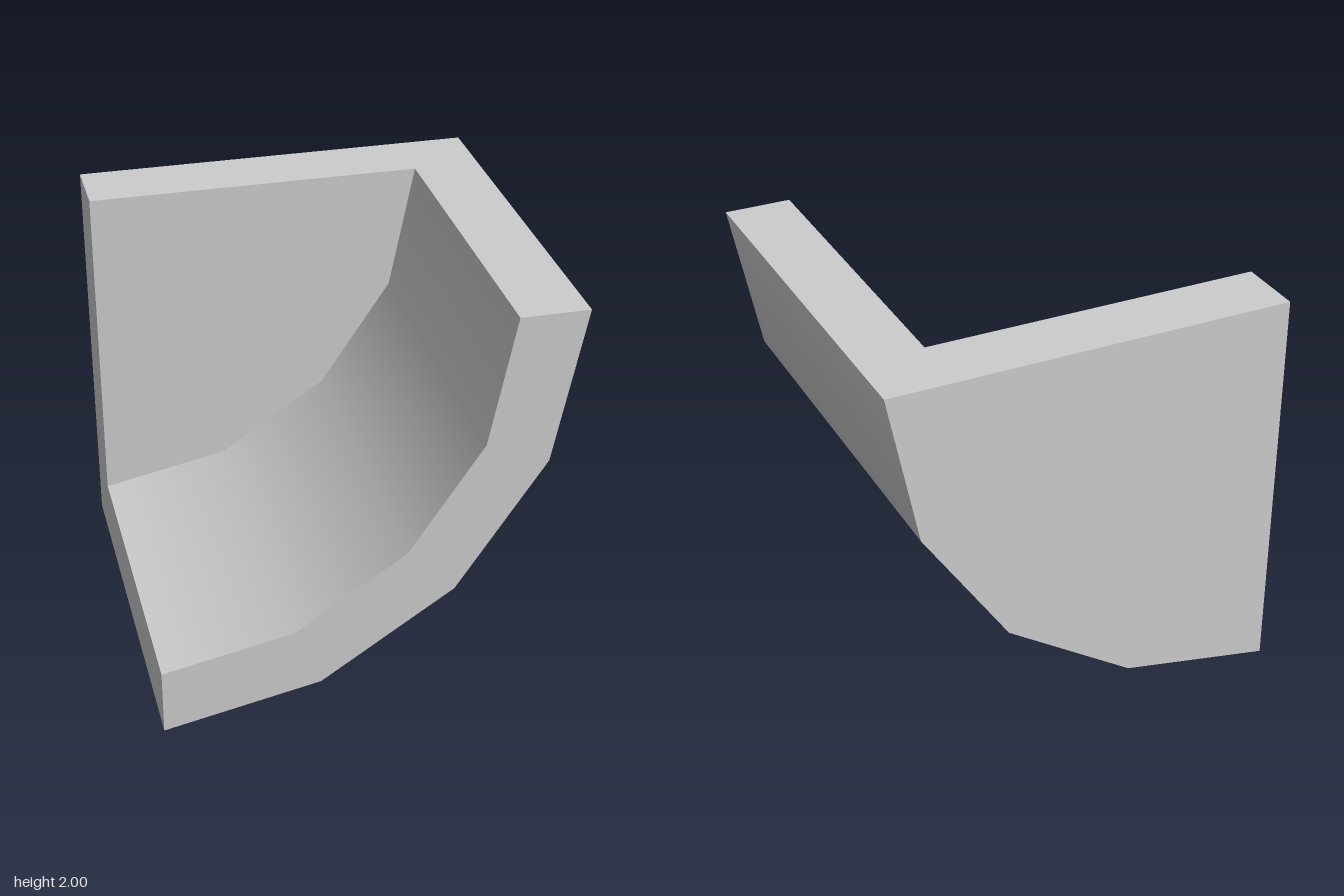
import * as THREE from 'three';

const OUTER = 2, INNER = 5 / 3, WALL = -2 / 3, SEGMENTS = 4;

// Points on the quarter arc about the top left edge, from bottom to right
function arc(radius) {
  return Array.from({ length: SEGMENTS + 1 }, (_, i) => {
    const a = (i / SEGMENTS) * Math.PI / 2;
    return new THREE.Vector2(-1 + radius * Math.sin(a), 2 - radius * Math.cos(a));
  });
}

// Smooth curved face along z; running from front to back turns it inward
function curvedFace(radius, zStart, zEnd) {
  const profile = [new THREE.Vector2(radius, zStart), new THREE.Vector2(radius, zEnd)];
  return new THREE.LatheGeometry(profile, SEGMENTS, 0, Math.PI / 2)
    .rotateX(Math.PI / 2).translate(-1, 2, 0);
}

function flatFace(points) {
  return new THREE.ShapeGeometry(new THREE.Shape(points));
}

const v = (x, y) => new THREE.Vector2(x, y);

export function createModel() {
  const group = new THREE.Group();
  const grey = new THREE.MeshStandardMaterial({ color: 0xcccccc });
  grey.name = 'lightGrey';
  const add = (name, geometry) => {
    const mesh = new THREE.Mesh(geometry, grey);
    mesh.name = name;
    group.add(mesh);
  };

  // Curved trough skin, outside and inside
  add('outerCurve', curvedFace(OUTER, -1, 1));
  add('innerCurve', curvedFace(INNER, 1, WALL));

  // Curved rim at the front
  add('frontRim', flatFace([...arc(OUTER), ...arc(INNER).reverse()]).translate(0, 0, 1));

  // Two faces of the back wall
  add('backWallInside', flatFace([v(-1, 2), ...arc(INNER)]).translate(0, 0, WALL));
  const mirrored = [v(-1, 2), ...arc(OUTER)].map(p => v(-p.x, p.y));
  add('backWallOutside', flatFace(mirrored).rotateY(Math.PI).translate(0, 0, -1));

  // L-shaped cut faces on the top and on the right side
  const bracket = [[0, -1], [OUTER, -1], [OUTER, 1], [INNER, 1], [INNER, WALL], [0, WALL]];
  add('topRim', flatFace(bracket.map(([r, z]) => v(r - 1, -z)))
    .rotateX(-Math.PI / 2).translate(0, 2, 0));
  add('sideRim', flatFace(bracket.map(([r, z]) => v(z, 2 - r)))
    .rotateY(-Math.PI / 2).translate(-1, 0, 0));

  return group;
}
